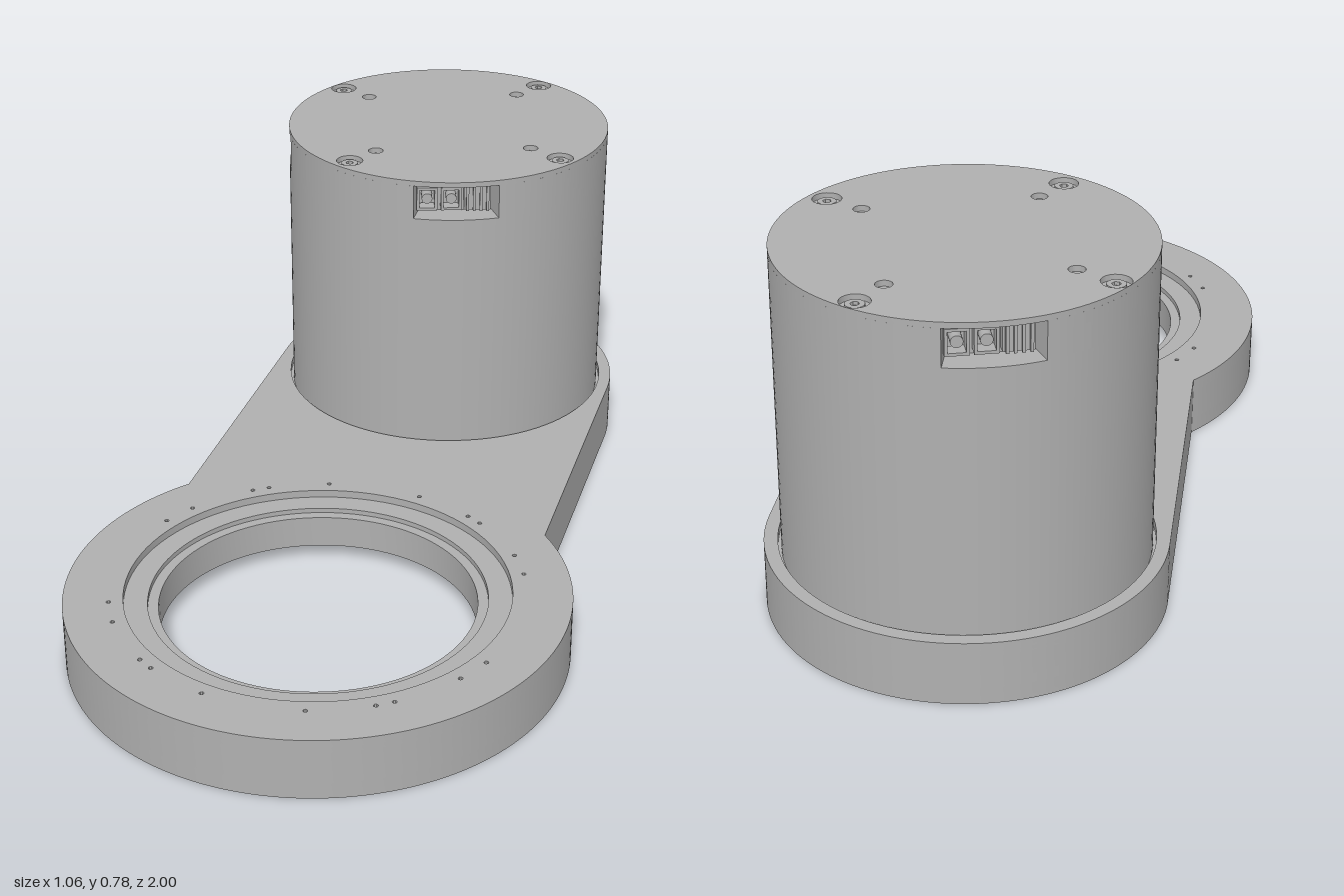
import * as THREE from 'three';
import { toCreasedNormals } from 'three/addons/utils/BufferGeometryUtils.js';

const MOTOR_Z = -0.59, RING_Z = 0.47, BODY_R = 0.375;
const rad = THREE.MathUtils.degToRad;

// Closed circle seen from above, as a path in (x, -z)
function circle(x, z, r, n = 96, Type = THREE.Path) {
  const pts = [];
  for (let i = 0; i < n; i++) {
    const a = (i / n) * Math.PI * 2;
    pts.push(new THREE.Vector2(x + r * Math.cos(a), -z + r * Math.sin(a)));
  }
  return new Type(pts);
}

// Lobed outline of the base: straight arm running into a larger ring
function plateOutline() {
  const a = Math.acos(0.41 / 0.53);
  const s = new THREE.Shape();
  s.absarc(0, -MOTOR_Z, 0.41, 0, Math.PI, false);
  s.absarc(0, -RING_Z, 0.53, Math.PI - a, Math.PI * 2 + a, false);
  s.closePath();
  return s;
}

// Horizontal slab between two heights, with holes
function slab(shape, holes, y0, y1) {
  shape.holes.push(...holes);
  const g = new THREE.ExtrudeGeometry(shape, { depth: y1 - y0, bevelEnabled: false, curveSegments: 72 });
  g.rotateX(-Math.PI / 2);
  g.translate(0, y0, 0);
  return toCreasedNormals(g, 0.5);
}

// Six-sided sector window for the hub
function sectorHole(mid, half, r0, r1) {
  const pts = [];
  for (let i = 0; i <= 6; i++) {
    const a = mid - half + (i / 6) * half * 2;
    pts.push(new THREE.Vector2(r1 * Math.cos(a), -MOTOR_Z + r1 * Math.sin(a)));
  }
  for (let i = 6; i >= 0; i--) {
    const a = mid - half * 0.7 + (i / 6) * half * 1.4;
    pts.push(new THREE.Vector2(r0 * Math.cos(a), -MOTOR_Z + r0 * Math.sin(a)));
  }
  return new THREE.Path(pts);
}

export function createModel() {
  const grey = new THREE.MeshStandardMaterial({ color: 0xb0b0b0 });
  grey.name = 'machined grey';
  const model = new THREE.Group();
  model.name = 'motorArm';
  const add = (name, geo, parent = model) => {
    const m = new THREE.Mesh(geo, grey);
    m.name = name;
    parent.add(m);
    return m;
  };

  // Pin holes around the bearing ring
  const pins = () => [14, 32, 37, 57, 67, 113, 123, 143, 148, 166].flatMap((d) =>
    [1, -1].map((s) => circle(s * 0.435 * Math.sin(rad(d)), RING_Z - 0.435 * Math.cos(rad(d)), 0.005, 8)));

  // Base plate in layers, giving the stepped bearing seat and motor pocket
  const pocket = () => circle(0, MOTOR_Z, 0.25);
  add('plateUnderside', slab(plateOutline(), [circle(0, RING_Z, 0.4), pocket(), ...pins()], 0, 0.035));
  add('plateCore', slab(plateOutline(), [circle(0, RING_Z, 0.333), pocket()], 0.035, 0.107));
  add('plateStep', slab(plateOutline(), [circle(0, RING_Z, 0.355), pocket()], 0.107, 0.118));
  add('plateTop', slab(plateOutline(),
    [circle(0, RING_Z, 0.405), circle(0, MOTOR_Z, 0.382), ...pins()], 0.118, 0.135));

  // Motor housing
  const body = new THREE.CylinderGeometry(BODY_R, BODY_R, 0.572, 128);
  body.translate(0, 0.404, MOTOR_Z);
  add('motorHousing', body);

  // Upper band, notched for the connector ports: [azimuth, half angle]
  const ports = [[17, 14.5], [197, 14.5], [287, 8]];
  const band = [];
  let last = BODY_R;
  for (let i = 0; i < 720; i++) {
    const d = i / 2;
    const r = ports.some(([c, h]) => Math.abs(d - c) <= h) ? 0.315 : BODY_R;
    const at = (q) => band.push(new THREE.Vector2(q * Math.sin(rad(d)), -MOTOR_Z - q * Math.cos(rad(d))));
    if (r !== last) at(last);
    at(r);
    last = r;
  }
  add('connectorBand', slab(new THREE.Shape(band), [], 0.69, 0.768));

  // Lid with countersunk screws and dowel holes
  const screws = [[0.15, -0.9], [-0.305, -0.75], [0.3, -0.44], [-0.155, -0.295]];
  const dowels = [[0.112, -0.822], [-0.228, -0.708], [0.222, -0.482], [-0.115, -0.37]];
  add('lid', slab(circle(0, MOTOR_Z, BODY_R, 128, THREE.Shape), [
    ...screws.map(([x, z]) => circle(x, z, 0.03, 24)),
    ...dowels.map(([x, z]) => circle(x, z, 0.017, 20)),
  ], 0.768, 0.78));
  for (const [x, z] of screws) {
    add('screwHead', slab(circle(x, z, 0.019, 20, THREE.Shape), [circle(x, z, 0.009, 6)], 0.767, 0.775));
  }

  // Connectors standing in the ports
  const box = (parent, name, x, y, z, w, h, d) =>
    add(name, new THREE.BoxGeometry(w, h, d), parent).position.set(x, y, z);
  for (const [azimuth, half] of ports) {
    const port = new THREE.Group();
    port.name = 'connectorPort';
    port.position.set(0, 0.729, MOTOR_Z);
    port.rotation.y = rad(azimuth);
    model.add(port);
    const wide = half > 10;
    for (const x of wide ? [-0.063, -0.009] : [0]) {
      for (const s of [-1, 1]) {
        box(port, 'socketRail', x, s * 0.024, 0.33, 0.046, 0.006, 0.03);
        box(port, 'socketSide', x + s * 0.02, 0, 0.33, 0.006, 0.048, 0.03);
      }
      const pin = new THREE.CylinderGeometry(0.012, 0.012, 0.035, 20);
      pin.rotateX(Math.PI / 2);
      add('socketPin', pin, port).position.set(x, 0, 0.325);
    }
    if (wide) {
      box(port, 'terminalBlock', 0.05, 0, 0.32, 0.06, 0.06, 0.03);
      for (let i = 0; i < 4; i++) box(port, 'terminalRib', 0.028 + i * 0.015, 0, 0.338, 0.006, 0.06, 0.012);
    }
  }

  // Output hub recessed in the underside
  const hubHoles = [circle(0, MOTOR_Z, 0.058, 48)];
  for (let i = 0; i < 6; i++) {
    const a = (i * Math.PI) / 3;
    hubHoles.push(sectorHole(a, 0.36, 0.095, 0.175));
    const b = a + Math.PI / 6;
    hubHoles.push(circle(0.185 * Math.cos(b), MOTOR_Z - 0.185 * Math.sin(b), 0.011, 16));
  }
  add('outputHub', slab(circle(0, MOTOR_Z, 0.208, 96, THREE.Shape), hubHoles, 0.05, 0.1));
  add('hubCollar', slab(circle(0, MOTOR_Z, 0.078, 48, THREE.Shape), [circle(0, MOTOR_Z, 0.058, 48)], 0.042, 0.05));
  add('hubSeat', slab(circle(0, MOTOR_Z, 0.25, 96, THREE.Shape), [circle(0, MOTOR_Z, 0.2)], 0.06, 0.1));

  return model;
}
